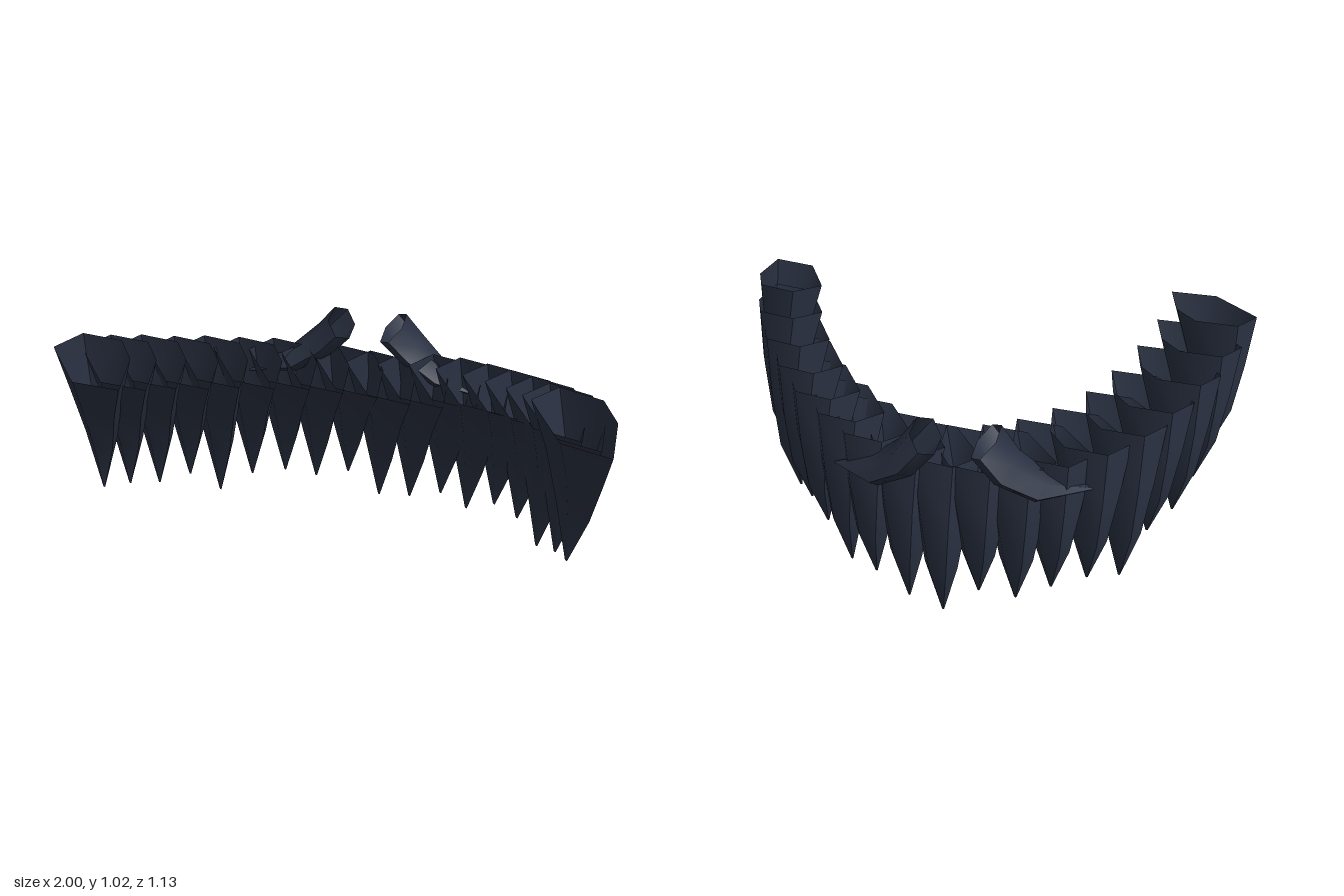
import * as THREE from 'three';
import { toCreasedNormals } from 'three/addons/utils/BufferGeometryUtils.js';

const slate = new THREE.MeshStandardMaterial({ color: 0x2a3142, side: THREE.DoubleSide });
slate.name = 'dark slate';

// Irregular hexagonal section, long axis running diagonally
const HEX = [[0.13, 0.18], [-0.04, 0.13], [-0.15, -0.09], [-0.06, -0.18], [0.09, -0.13], [0.14, -0.01]];

// Hollow spike skinned over rings of points, open at the wide end
function spike(rings, name) {
  const n = rings[0].length;
  const pos = [];
  const tri = (...pts) => pts.forEach((p) => pos.push(p.x, p.y, p.z));
  for (let r = 0; r < rings.length - 1; r++) {
    const a = rings[r], b = rings[r + 1];
    for (let i = 0; i < n; i++) {
      const j = (i + 1) % n;
      tri(a[i], a[j], b[i]);
      tri(a[j], b[j], b[i]);
    }
  }
  const geo = new THREE.BufferGeometry();
  geo.setAttribute('position', new THREE.Float32BufferAttribute(pos, 3));
  const mesh = new THREE.Mesh(toCreasedNormals(geo, 1.0), slate);
  mesh.name = name;
  return mesh;
}

// Hanging lock: tip position and rim height; k runs 0..1 around the arc
function lock([x, y, z, top], k) {
  const turn = -0.2 * (1 - k);
  const c = Math.cos(turn), s = Math.sin(turn);
  const mid = 1 - Math.abs(2 * k - 1);
  const rimX = x + 0.04 - 0.08 * k + 0.02 * mid;
  const rimZ = z + 0.04 + 0.055 * mid + (k > 0.5 && k < 1 ? 0.025 : 0);
  // height fraction, section scale, blend towards the rim centre, backward bulge
  const rows = [
    [1, 1, 1, 0],
    [0.68, 0.71, 0.35, -0.02 + 0.01 * mid],
    [0.35, 0.44, 0, -0.035 + 0.025 * mid],
    [0, 0.03, 0, 0],
  ];
  const rings = rows.map(([t, size, blend, bulge]) => HEX.map(([hx, hz]) => {
    const px = (hx * c - hz * s) * size, pz = (hx * s + hz * c) * size;
    return new THREE.Vector3(
      x + (rimX - x) * blend + px,
      y + (top - y) * t - (t === 1 ? pz * 0.06 : 0),
      z + (rimZ - z) * blend + bulge + pz);
  }));
  return spike(rings, 'lock');
}

// Curved hollow tuft on the back, sweeping outward to a point
function tuft(side, shift) {
  const path = [[0.125, 0.815, -0.44, 1], [0.2, 0.725, -0.45, 0.95], [0.32, 0.64, -0.42, 0.75], [0.5, 0.6, -0.34, 0.04]];
  const pts = path.map(([x, y, z]) => new THREE.Vector3(x * side + shift, y, z));
  const rings = pts.map((p, r) => {
    const t = pts[Math.min(r + 1, 3)].clone().sub(pts[Math.max(0, r - 1)]).setZ(0).normalize();
    const size = path[r][3];
    return Array.from({ length: 6 }, (_, i) => {
      const a = (i / 6) * Math.PI * 2 + Math.PI / 6;
      const u = Math.cos(a) * 0.065 * size, w = Math.sin(a) * 0.12 * size;
      return new THREE.Vector3(p.x - t.y * u, p.y + t.x * u, p.z + w);
    });
  });
  return spike(rings, side > 0 ? 'leftTuft' : 'rightTuft');
}

export function createModel() {
  const group = new THREE.Group();
  group.name = 'collar';

  // Tip x, y, z and rim height for each lock around the arc
  const locks = [
    [-0.87, 0.42, 0.33, 1.015], [-0.82, 0.35, 0.20, 0.945], [-0.75, 0.27, 0.07, 0.885],
    [-0.66, 0.24, -0.05, 0.825], [-0.57, 0.09, -0.16, 0.78], [-0.45, 0.13, -0.25, 0.74],
    [-0.32, 0.12, -0.32, 0.715], [-0.19, 0.08, -0.36, 0.695], [-0.05, 0.11, -0.38, 0.685],
    [0.09, 0, -0.385, 0.685], [0.23, 0.03, -0.36, 0.70], [0.37, 0.10, -0.32, 0.73],
    [0.49, 0.09, -0.25, 0.765], [0.61, 0.20, -0.16, 0.80], [0.71, 0.23, -0.05, 0.845],
    [0.80, 0.20, 0.07, 0.895], [0.87, 0.29, 0.20, 0.95], [0.91, 0.38, 0.35, 1.01],
  ];
  locks.forEach((l, i) => group.add(lock(l, i / (locks.length - 1))));

  // Pair of tufts at the nape
  group.add(tuft(1, 0), tuft(-1, 0.035));
  return group;
}
